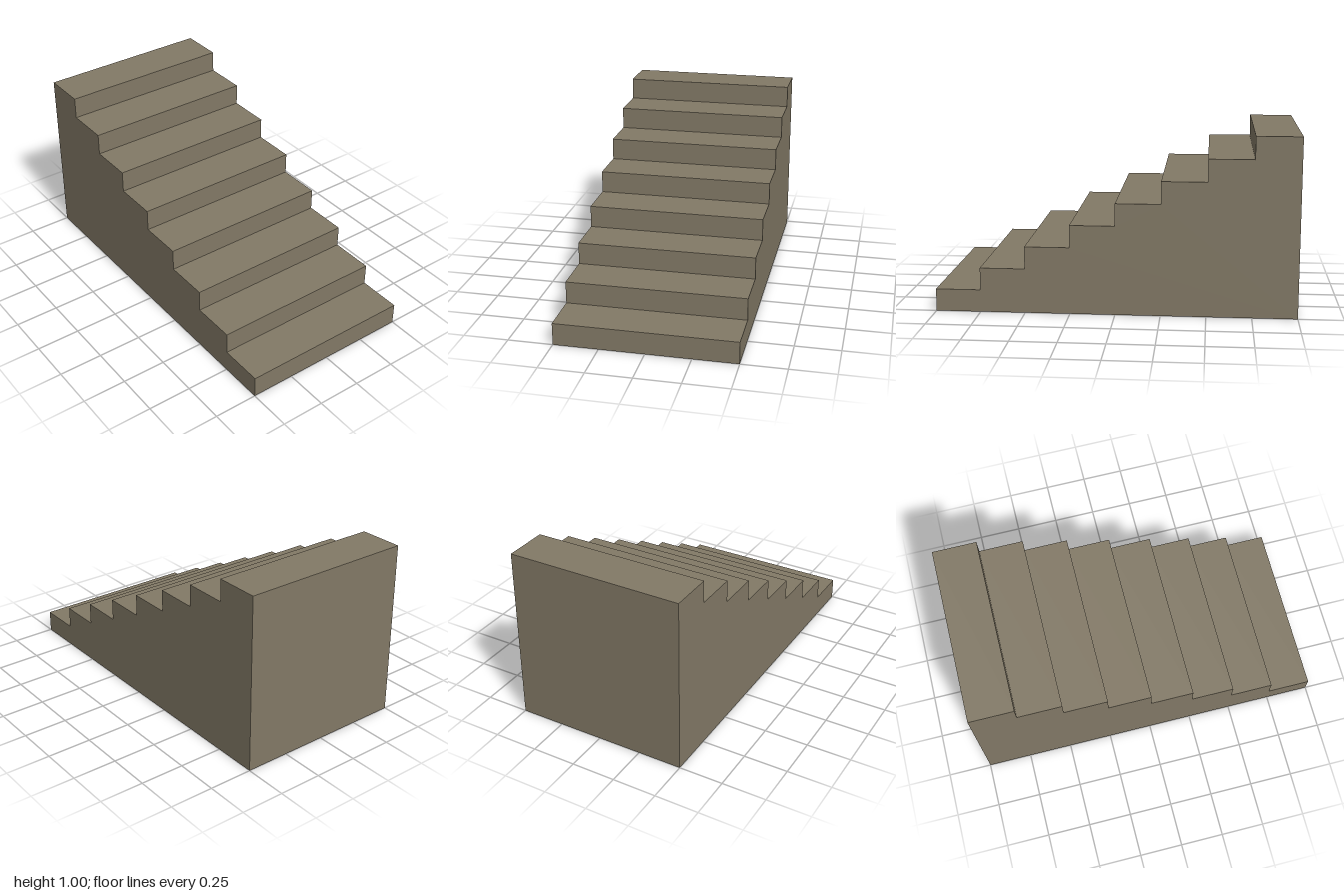
import * as THREE from 'three';

const STEPS = 8, WIDTH = 1, LENGTH = 2, HEIGHT = 1;

export function createModel() {
  const group = new THREE.Group();
  group.name = 'staircase';

  // Stepped side profile, rising from the front to the back
  const run = LENGTH / STEPS, rise = HEIGHT / STEPS;
  const profile = new THREE.Shape();
  profile.moveTo(LENGTH / 2, 0);
  profile.lineTo(LENGTH / 2, HEIGHT);
  for (let i = STEPS - 1; i >= 0; i--) {
    const front = -LENGTH / 2 + i * run;
    profile.lineTo(front, (i + 1) * rise);
    profile.lineTo(front, i * rise);
  }
  profile.closePath();

  // Solid flight: extrude across the width, then turn the low end to +z
  const geometry = new THREE.ExtrudeGeometry(profile, { depth: WIDTH, bevelEnabled: false });
  geometry.translate(0, 0, -WIDTH / 2);
  geometry.rotateY(Math.PI / 2);

  const stairs = new THREE.Mesh(geometry, new THREE.MeshStandardMaterial({ color: 0x827966 }));
  stairs.name = 'stairFlight';
  group.add(stairs);
  return group;
}
